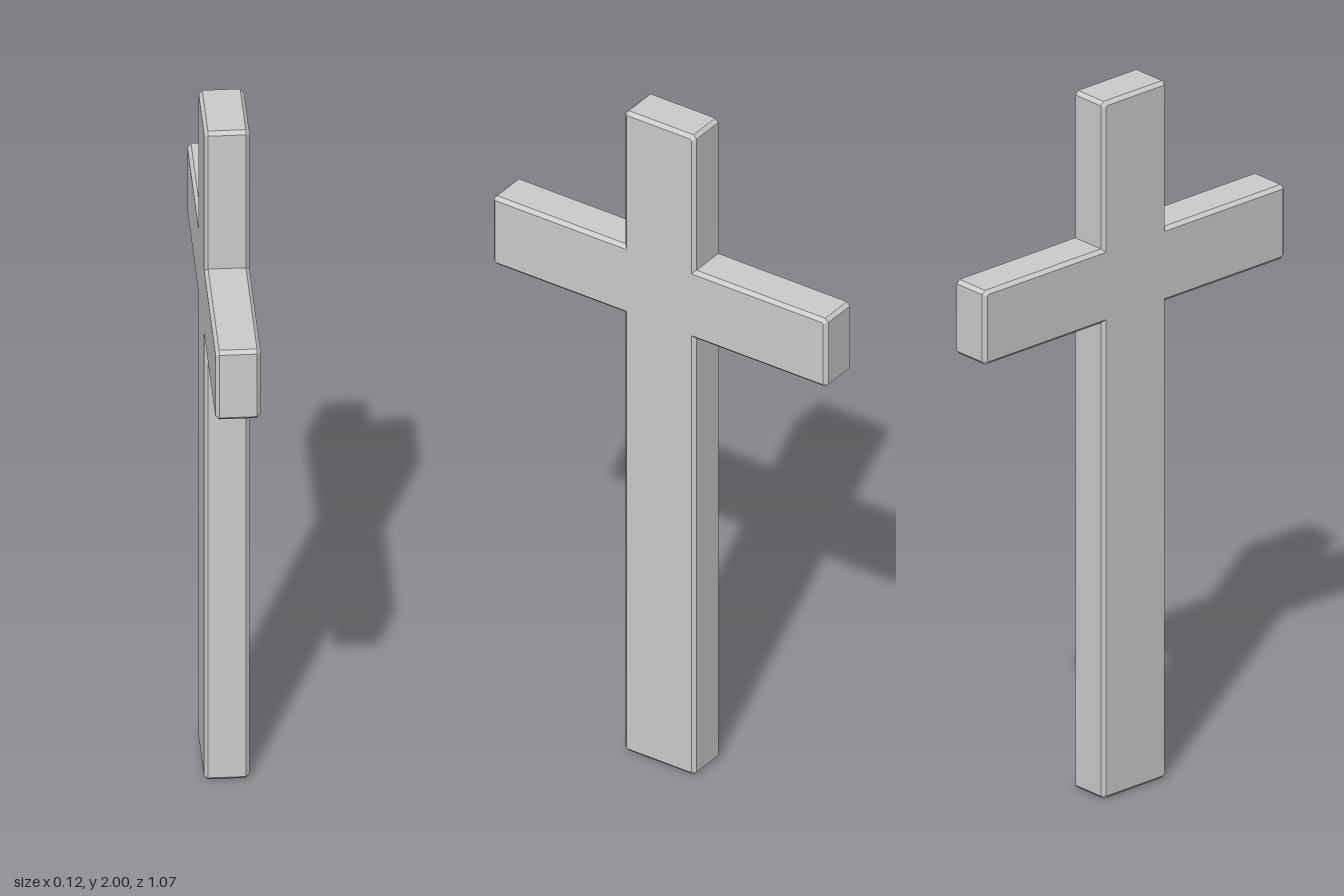
import * as THREE from 'three';

const POST = 0.114;      // half width of the upright
const ARM = 0.537;       // half span of the crossbar
const ARM_Y0 = 1.367, ARM_Y1 = 1.58;
const HEIGHT = 2, THICK = 0.12, BEVEL = 0.01;

// Cross outline with small cuts on the outer corners
function crossShape() {
  const c = BEVEL;
  const half = [
    [POST - c, 0], [POST, c],
    [POST, ARM_Y0],
    [ARM - c, ARM_Y0], [ARM, ARM_Y0 + c],
    [ARM, ARM_Y1 - c], [ARM - c, ARM_Y1],
    [POST, ARM_Y1],
    [POST, HEIGHT - c], [POST - c, HEIGHT],
  ];
  const mirrored = half.map(([x, y]) => [-x, y]).reverse();
  return new THREE.Shape([...half, ...mirrored].map(([x, y]) => new THREE.Vector2(x, y)));
}

export function createModel() {
  const group = new THREE.Group();
  group.name = 'cross';

  const stone = new THREE.MeshStandardMaterial({ color: 0xcccccc });
  stone.name = 'lightGrey';

  // Upright and crossbar in one chamfered slab, turned so the arms run along z
  const depth = THICK - 2 * BEVEL;
  const geometry = new THREE.ExtrudeGeometry(crossShape(), {
    depth,
    bevelEnabled: true,
    bevelSegments: 1,
    bevelSize: BEVEL,
    bevelThickness: BEVEL,
    bevelOffset: -BEVEL,
  });
  geometry.translate(0, 0, -depth / 2);
  geometry.rotateY(Math.PI / 2);

  const body = new THREE.Mesh(geometry, stone);
  body.name = 'crossBody';
  group.add(body);
  return group;
}
